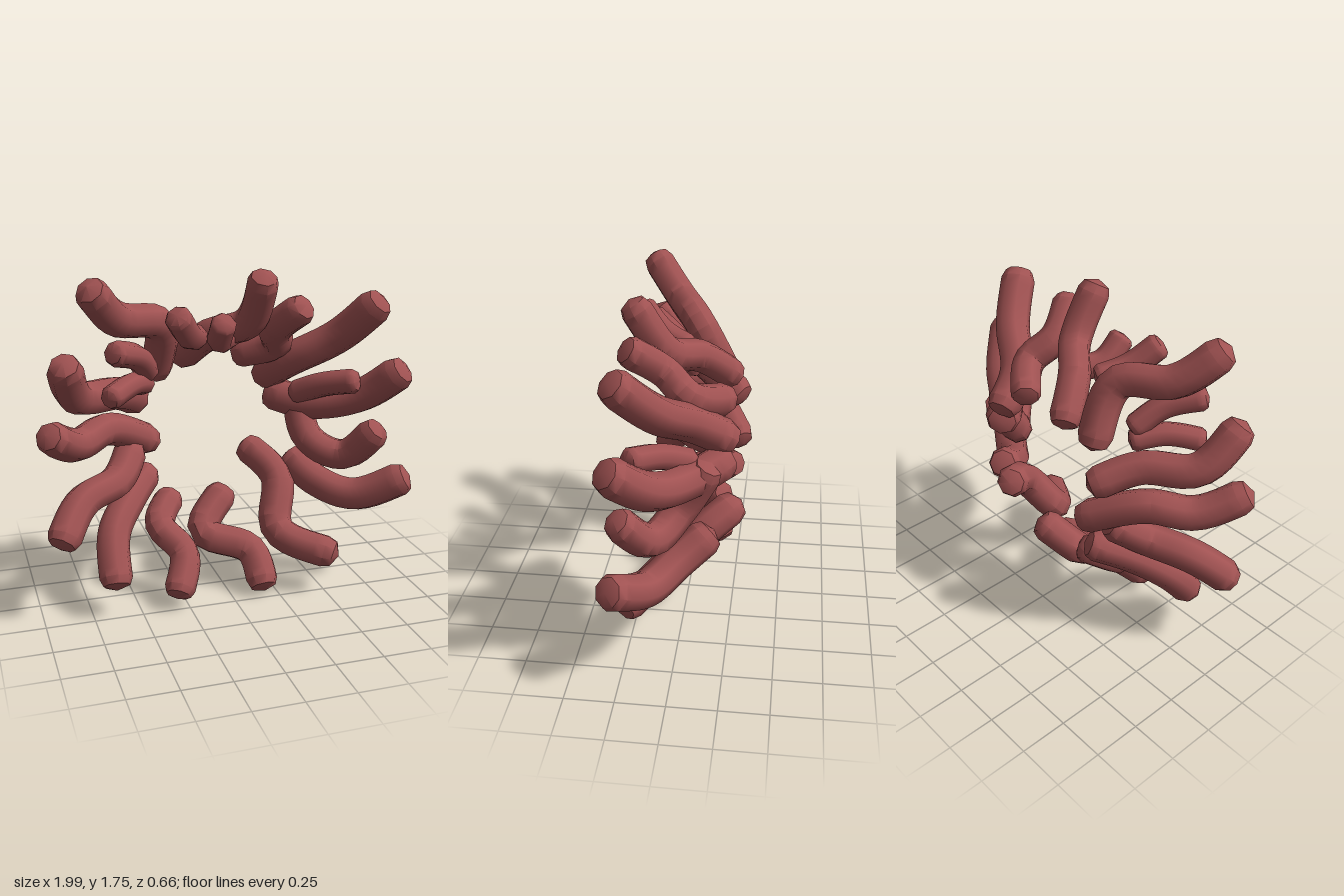
import * as THREE from 'three';
import { toCreasedNormals } from 'three/addons/utils/BufferGeometryUtils.js';

const SIDES = 8, STEPS = 20;
const RING_SCALE = [0, 0.8, 1]; // tapering of the last rings at each tip

// Coil through x, y pairs from outer to inner tip; depth runs evenly from zFront to zBack
function coil([radius, zFront, zBack, ...xy]) {
  const count = xy.length / 2;
  const p = Array.from({ length: count }, (_, i) => new THREE.Vector3(
    xy[2 * i], xy[2 * i + 1], THREE.MathUtils.lerp(zFront, zBack, i / (count - 1))));
  // Lengthen both ends to make room for the blunt tips
  const extend = (tip, inner) => tip.add(tip.clone().sub(inner).setLength(0.08));
  extend(p[0], p[1]);
  extend(p[count - 1], p[count - 2]);

  const curve = new THREE.CatmullRomCurve3(p, false, 'centripetal');
  const geo = new THREE.TubeGeometry(curve, STEPS, radius, SIDES);
  const pos = geo.attributes.position, v = new THREE.Vector3();
  for (let i = 0; i <= STEPS; i++) {
    const edge = Math.min(i, STEPS - i);
    if (edge >= RING_SCALE.length) continue;
    const centre = curve.getPointAt(i / STEPS);
    const inside = curve.getPointAt(i < STEPS / 2 ? 1 / STEPS : 1 - 1 / STEPS);
    for (let j = 0; j <= SIDES; j++) {
      const k = i * (SIDES + 1) + j;
      v.fromBufferAttribute(pos, k).sub(centre).multiplyScalar(RING_SCALE[edge]).add(centre);
      if (edge === 0) v.lerp(inside, 0.4);
      pos.setXYZ(k, v.x, v.y, v.z);
    }
  }
  return toCreasedNormals(geo, 0.8);
}

// Each row: radius, front depth, back depth, then x, y pairs
// Long coils on the upper and right part of the ring
const upperCoils = [
  [0.087, 0.25, -0.16, -0.7, 1.67, -0.57, 1.52, -0.32, 1.45, -0.32, 1.19],
  [0.083, 0.24, -0.2, 0.13, 1.68, 0.11, 1.46, -0.05, 1.38, -0.15, 1.25],
  [0.083, 0.23, -0.18, 0.33, 1.53, 0.26, 1.42, 0.31, 1.31, 0.17, 1.25],
  [0.092, 0.24, -0.22, 0.74, 1.54, 0.61, 1.36, 0.39, 1.21, 0.32, 1.11],
  [0.094, 0.25, -0.2, 0.88, 1.18, 0.74, 1.03, 0.52, 0.97, 0.36, 1],
  [0.085, 0.23, -0.13, 0.76, 0.86, 0.65, 0.71, 0.49, 0.79, 0.48, 1],
  [0.093, 0.25, -0.13, 0.92, 0.59, 0.72, 0.48, 0.55, 0.53, 0.46, 0.62],
];

// Long coils on the lower and left part of the ring
const lowerCoils = [
  [0.09, 0.26, -0.25, 0.52, 0.22, 0.29, 0.31, 0.34, 0.55, 0.23, 0.67],
  [0.088, 0.19, -0.17, 0.16, 0.07, 0.14, 0.2, -0.09, 0.29, 0.05, 0.44],
  [0.082, 0.22, -0.14, -0.3, 0.11, -0.24, 0.24, -0.34, 0.37, -0.26, 0.45],
  [0.086, 0.23, -0.2, -0.63, 0.21, -0.61, 0.39, -0.5, 0.51, -0.38, 0.59],
  [0.088, 0.23, -0.15, -0.88, 0.46, -0.77, 0.59, -0.56, 0.65, -0.47, 0.75],
  [0.086, 0.24, -0.24, -0.92, 0.99, -0.78, 0.89, -0.6, 0.91, -0.35, 0.78],
  [0.088, 0.25, -0.23, -0.84, 1.32, -0.77, 1.14, -0.54, 1.1, -0.42, 1.02],
];

// Short, thin coils tucked between the long ones
const shortCoils = [
  [0.068, 0.24, 0.06, -0.28, 1.51, -0.22, 1.43, -0.17, 1.4],
  [0.066, 0.21, 0.05, -0.06, 1.46, -0.05, 1.39, 0, 1.38],
  [0.064, 0.24, 0.05, -0.58, 1.37, -0.48, 1.33, -0.42, 1.25],
  [0.06, 0.22, 0.04, -0.6, 1.17, -0.51, 1.19, -0.44, 1.17],
  [0.066, 0.17, -0.02, 0.63, 1.13, 0.53, 1.1, 0.46, 1.05],
];

export function createModel() {
  const model = new THREE.Group();
  model.name = 'coilWreath';
  const red = new THREE.MeshStandardMaterial({ color: 0xa05252 });
  red.name = 'dusty red';
  const add = (name, list) => list.forEach((row, i) => {
    const mesh = new THREE.Mesh(coil(row), red);
    mesh.name = name + (i + 1);
    model.add(mesh);
  });
  add('upperCoil', upperCoils);
  add('lowerCoil', lowerCoils);
  add('shortCoil', shortCoils);
  return model;
}
